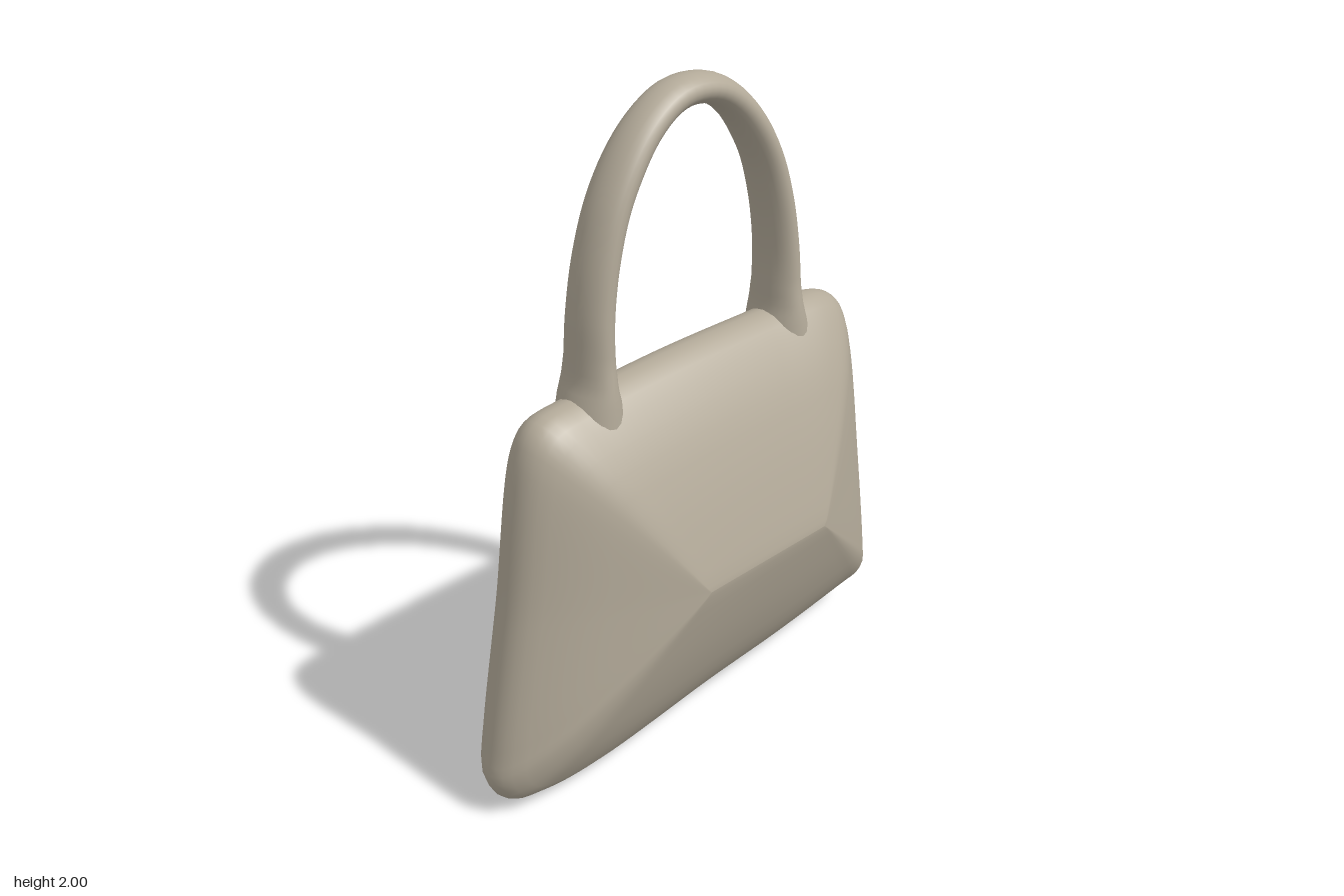
import * as THREE from 'three';
import { mergeVertices } from 'three/addons/utils/BufferGeometryUtils.js';

// Skin a list of closed rings (arrays of Vector3 of equal length)
function loft(rings) {
  const n = rings[0].length;
  const index = [];
  for (let j = 0; j < rings.length - 1; j++) {
    for (let i = 0; i < n; i++) {
      const k = (i + 1) % n;
      const a = j * n + i, b = j * n + k, c = a + n, d = b + n;
      index.push(a, b, d, a, d, c);
    }
  }
  let geometry = new THREE.BufferGeometry().setFromPoints(rings.flat());
  geometry.setIndex(index);
  geometry = mergeVertices(geometry, 1e-4);
  geometry.computeVertexNormals();
  return geometry;
}

// Piecewise linear lookup in [key, value] pairs
function lookup(table, x) {
  for (let i = 1; i < table.length; i++) {
    const [x0, y0] = table[i - 1], [x1, y1] = table[i];
    if (x <= x1) return THREE.MathUtils.mapLinear(Math.max(x, x0), x0, x1, y0, y1);
  }
  return table[table.length - 1][1];
}

const curve = (points, closed) => new THREE.CatmullRomCurve3(
  points.map(([x, y]) => new THREE.Vector3(x, y, 0)), closed);

// Pillow body: the outline shrinks to a short ridge while it swells in z
function bodyGeometry() {
  const outline = curve([
    [-0.81, 0.12], [-0.77, 0.05], [-0.68, 0.02], [-0.5, 0.005], [0, 0.045], [0.35, 0.065],
    [0.7, 0.1], [0.78, 0.11], [0.81, 0.14], [0.805, 0.22], [0.745, 0.63], [0.67, 1.07],
    [0.63, 1.18], [0.55, 1.215], [0.3, 1.22], [-0.1, 1.22], [-0.45, 1.2], [-0.58, 1.18],
    [-0.63, 1.12], [-0.72, 0.63], [-0.8, 0.21],
  ], true).getSpacedPoints(180).slice(0, -1);

  const swell = [[0, 0], [0.006, 0.022], [0.02, 0.045], [0.05, 0.068], [0.1, 0.096], [0.2, 0.135],
    [0.3, 0.168], [0.4, 0.194], [0.5, 0.218], [0.6, 0.24], [0.7, 0.26], [0.8, 0.279],
    [0.9, 0.297], [0.97, 0.308], [1, 0.31]];

  const ring = ([t, z], side) => outline.map((p) => {
    const halfWidth = 0.6 + (1.2 - p.y) * 0.16;
    const u = THREE.MathUtils.clamp(p.x / halfWidth, -1, 1);
    const ridge = new THREE.Vector3(0.02 + u * 0.25, 0.625, 0);
    return p.clone().lerp(ridge, t).setZ(side * z);
  });
  const back = swell.slice(1).reverse().map((s) => ring(s, -1));
  return loft([...back, ...swell.map((s) => ring(s, 1))]);
}

// Arched handle: oval section that flares where it meets the body
function handleGeometry() {
  const half = [[-0.39, 1.1], [-0.382, 1.25], [-0.374, 1.42], [-0.345, 1.58], [-0.29, 1.73], [-0.19, 1.87], [-0.09, 1.94]];
  const path = curve([...half, [-0.01, 1.957], ...half.map(([x, y]) => [-x, y]).reverse()], false);
  const widthAt = [[1.1, 0.09], [1.19, 0.072], [1.23, 0.056], [1.35, 0.05], [1.8, 0.046], [1.96, 0.043]];
  const depthAt = [[1.1, 0.11], [1.2, 0.102], [1.3, 0.086], [1.45, 0.08], [1.8, 0.073], [1.96, 0.064]];
  const rings = [];
  const steps = 72, sides = 24;
  for (let j = 0; j <= steps; j++) {
    const p = path.getPointAt(j / steps);
    const t = path.getTangentAt(j / steps);
    const w = lookup(widthAt, p.y), d = lookup(depthAt, p.y);
    rings.push(Array.from({ length: sides }, (_, i) => {
      const a = (i / sides) * Math.PI * 2;
      const r = w * Math.cos(a);
      return new THREE.Vector3(p.x - t.y * r, p.y + t.x * r, d * Math.sin(a));
    }));
  }
  return loft(rings);
}

export function createModel() {
  const group = new THREE.Group();
  group.name = 'handbag';
  const leather = new THREE.MeshStandardMaterial({ color: 0xb3aa99 });
  leather.name = 'taupe leather';

  const body = new THREE.Mesh(bodyGeometry(), leather);
  body.name = 'bagBody';
  const handle = new THREE.Mesh(handleGeometry(), leather);
  handle.name = 'handle';

  group.add(body, handle);
  return group;
}
